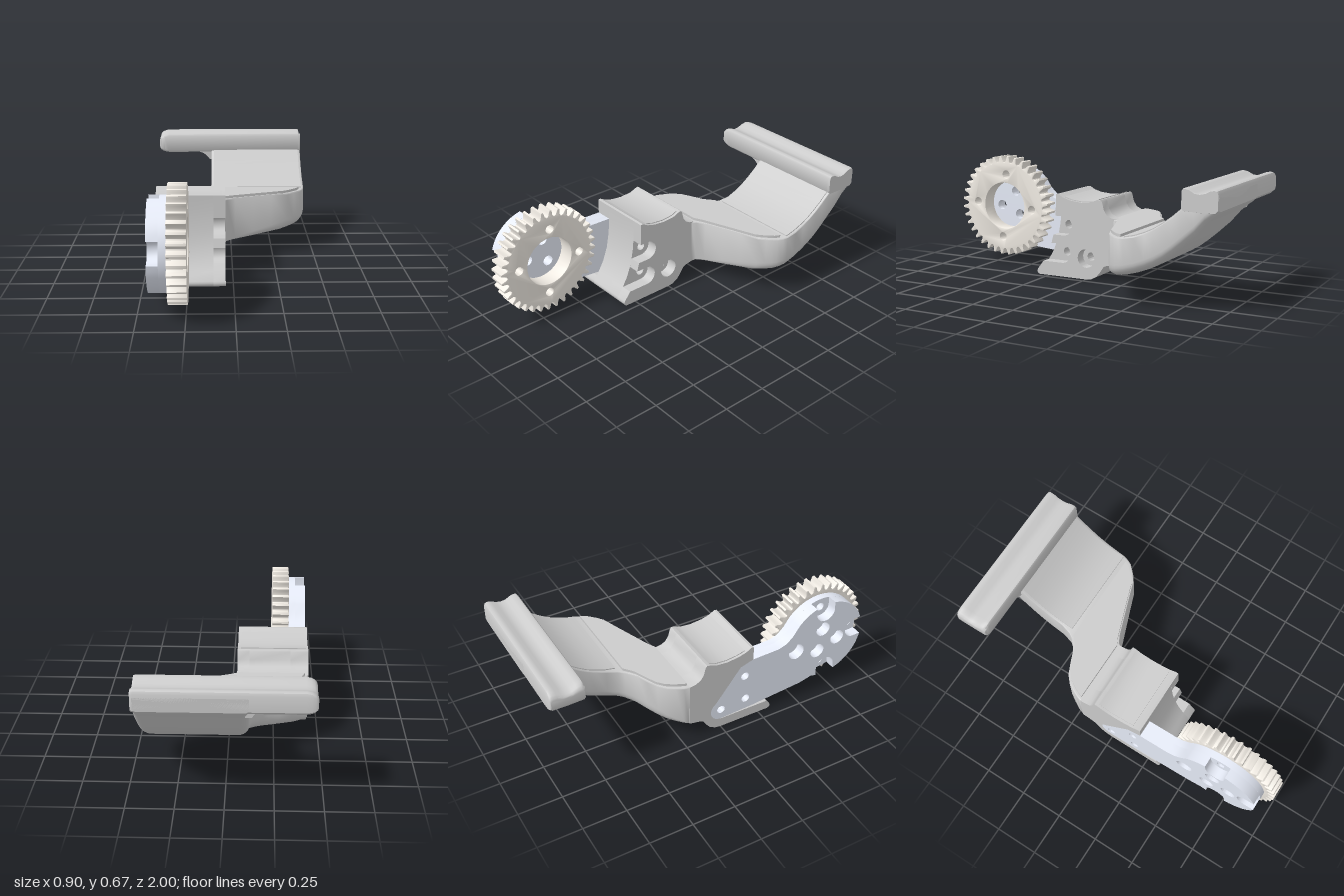
import * as THREE from 'three';
import { toCreasedNormals } from 'three/addons/utils/BufferGeometryUtils.js';

const grey = new THREE.MeshStandardMaterial({ color: 0xcccccc });
const ivory = new THREE.MeshStandardMaterial({ color: 0xf0ebe3 });
const paleBlue = new THREE.MeshStandardMaterial({ color: 0xe6ebf7 });
const rad = THREE.MathUtils.degToRad;

// Points on an arc in the (z, y) plane, angles in degrees.
function arc(cz, cy, r, a0, a1, n = 16) {
  return Array.from({ length: n + 1 }, (_, i) => {
    const a = rad(a0 + (a1 - a0) * i / n);
    return [cz + r * Math.cos(a), cy + r * Math.sin(a)];
  });
}

// Side profile of [z, y] points extruded from x0 to x1; holes are [z, y, r].
function slab(profile, x0, x1, holes = [], bevel = 0) {
  const outline = profile.map(([z, y]) => new THREE.Vector2(-z, y));
  if (THREE.ShapeUtils.isClockWise(outline)) outline.reverse();
  const shape = new THREE.Shape(outline);
  for (const [z, y, r] of holes) shape.holes.push(new THREE.Path().absarc(-z, y, r, 0, Math.PI * 2, true));
  const g = new THREE.ExtrudeGeometry(shape, {
    depth: x1 - x0 - 2 * bevel, curveSegments: 20, bevelEnabled: bevel > 0,
    bevelThickness: bevel, bevelSize: bevel, bevelOffset: -bevel, bevelSegments: 2,
  });
  g.rotateY(Math.PI / 2).translate(x0 + bevel, 0, 0);
  return toCreasedNormals(g, 0.6);
}

// Skin over equal-length loops, closed by fans at both ends.
function loft(loops) {
  const n = loops[0].length, pos = [], idx = [];
  loops.forEach(l => l.forEach(p => pos.push(...p)));
  for (let i = 0; i < loops.length - 1; i++) for (let j = 0; j < n; j++) {
    const a = i * n + j, b = i * n + (j + 1) % n;
    idx.push(a, b, b + n, a, b + n, a + n);
  }
  [0, loops.length - 1].forEach((row, end) => {
    const c = [0, 1, 2].map(k => loops[row].reduce((s, p) => s + p[k], 0) / n);
    const ci = pos.length / 3;
    pos.push(...c);
    for (let j = 0; j < n; j++) {
      const a = row * n + j, b = row * n + (j + 1) % n;
      if (end) idx.push(ci, a, b); else idx.push(ci, b, a);
    }
  });
  const g = new THREE.BufferGeometry();
  g.setAttribute('position', new THREE.Float32BufferAttribute(pos, 3));
  g.setIndex(idx);
  return toCreasedNormals(g, 0.7);
}

export function createModel() {
  const model = new THREE.Group();
  const add = (name, geo, mat = grey) => {
    const m = new THREE.Mesh(geo, mat);
    m.name = name;
    model.add(m);
  };

  // Gear wheel
  const gz = 0.688, gy = 0.358, teeth = 36;
  const mounts = [4, 94, 184, 274].map(a => [gz + 0.198 * Math.cos(rad(a)), gy + 0.198 * Math.sin(rad(a))]);
  const rim = [];
  for (let i = 0; i < teeth; i++) {
    for (const [f, r] of [[-0.42, 0.273], [-0.28, 0.281], [-0.19, 0.3], [-0.11, 0.312], [0.11, 0.312], [0.19, 0.3], [0.28, 0.281], [0.42, 0.273]]) {
      const a = (i + 0.5 + f) / teeth * Math.PI * 2;
      rim.push([gz + r * Math.cos(a), gy + r * Math.sin(a)]);
    }
  }
  add('gear', slab(rim, -0.34, -0.24, [[gz, gy, 0.145], ...mounts.map(([z, y]) => [z, y, 0.025])], 0.003), ivory);

  // Carrier plate: a disc with an arm, in a slotted outer and a plain inner layer
  const bolts = [[0.15, 0.305], [0.16, 0.14], [0, 0.125]];
  const pins = [[0.665, 0.44], [0.77, 0.345], [0.637, 0.295]];
  const seat = [[0.2, 0.405], [0.12, 0.38], [-0.03, 0.185], ...arc(0, 0.125, 0.065, 145, 270, 8)];
  const neck = [[0.46, 0.465], [0.42, 0.427], [0.37, 0.41]];
  const tail = [...neck, ...seat, [0.2, 0.07], [0.53, 0.1]];
  const slotted = [];
  let from = -108;
  for (const i of [3, 0, 1]) {
    const a = [4, 94, 184, -86][i];
    slotted.push(...arc(gz, gy, 0.25, from, a - 14, 8), ...arc(...mounts[i], 0.06, a - 90, a - 270, 12));
    from = a + 14;
  }
  slotted.push(...arc(gz, gy, 0.25, from, 140, 8));
  const small = bolts.map(([z, y]) => [z, y, 0.025]);
  const pinHoles = pins.map(([z, y]) => [z, y, 0.03]);
  add('plateOuterLayer', slab([...slotted, ...tail], -0.44, -0.38,
    [...small, ...pins.map(([z, y]) => [z, y, 0.045]), [...mounts[2], 0.05]]), paleBlue);
  add('plateInnerLayer', slab([...arc(gz, gy, 0.25, -108, 140, 40), ...tail], -0.38, -0.34,
    [...small, ...pinHoles, ...mounts.map(([z, y]) => [z, y, 0.025])]), paleBlue);

  // Hinge block: pocketed, solid and counterbored layers
  const saddle = [[0.2, 0.49], [0.185, 0.492], [0.15, 0.472], [0.1, 0.458], [0.03, 0.451],
    [-0.04, 0.457], [-0.075, 0.472], [-0.095, 0.476]];
  const blockBack = [...saddle, [-0.104, 0.465], [-0.115, 0.42], [-0.135, 0.39], [-0.165, 0.375], [-0.2, 0.37],
    [-0.2, 0.108], [-0.14, 0.096], [-0.115, 0.086], [-0.095, 0.055], [-0.07, 0.025], [-0.035, 0.005], [0, 0]];
  const toe = [[0.312, 0], [0.323, 0.004], [0.329, 0.012], [0.33, 0.022], [0.326, 0.032]];
  add('blockPocketLayer', slab([...toe, [0.305, 0.058], [0, 0.058], ...[...seat].reverse(), ...blockBack], -0.44, -0.34));
  add('blockCore', slab([...toe, [0.29, 0.08], [0.255, 0.14], [0.225, 0.22], [0.208, 0.31], [0.2, 0.4], ...blockBack],
    -0.34, -0.11, small));
  add('blockBoltLayer', slab([...toe, [0.288, 0.083], ...arc(0.16, 0.14, 0.057, 270, 90), [0.232, 0.197],
    [0.218, 0.248], ...arc(0.15, 0.305, 0.057, 270, 90), [0.203, 0.362], ...blockBack],
    -0.11, -0.043, [[0, 0.125, 0.055]]));

  // Bent arm: rows of z, left x, right x, bottom y, top y, bottom corner radius
  const rows = [
    [-1, -0.12, 0.44, 0.545, 0.62, 0.02], [-0.985, -0.12, 0.447, 0.528, 0.63, 0.03],
    [-0.96, -0.12, 0.45, 0.508, 0.63, 0.04], [-0.925, -0.12, 0.45, 0.475, 0.62, 0.05],
    [-0.87, -0.12, 0.45, 0.41, 0.61, 0.055], [-0.8, -0.12, 0.45, 0.345, 0.545, 0.06],
    [-0.75, -0.12, 0.45, 0.302, 0.502, 0.06], [-0.7, -0.12, 0.45, 0.264, 0.465, 0.06],
    [-0.65, -0.12, 0.45, 0.234, 0.433, 0.06], [-0.6, -0.12, 0.45, 0.21, 0.409, 0.06],
    [-0.54, -0.12, 0.45, 0.187, 0.387, 0.06], [-0.48, -0.135, 0.448, 0.17, 0.374, 0.06],
    [-0.45, -0.155, 0.44, 0.164, 0.37, 0.06], [-0.42, -0.19, 0.425, 0.158, 0.37, 0.06],
    [-0.4, -0.22, 0.405, 0.154, 0.37, 0.06], [-0.375, -0.28, 0.38, 0.15, 0.37, 0.06],
    [-0.345, -0.345, 0.34, 0.144, 0.37, 0.06], [-0.31, -0.385, 0.24, 0.134, 0.37, 0.045],
    [-0.27, -0.41, 0.13, 0.123, 0.37, 0.03], [-0.23, -0.43, 0.02, 0.114, 0.37, 0.015],
    [-0.205, -0.438, -0.03, 0.109, 0.37, 0.006], [-0.18, -0.44, -0.043, 0.104, 0.37, 0.003],
  ];
  add('arm', loft(rows.map(([z, l, r, b, t, k]) => {
    const c = (x, y, rr, a) => arc(x, y, rr, a, a + 90, 6).map(([px, py]) => [px, py, z]);
    const e = 0.008;
    return [...c(r - e, t - e, e, 0), ...c(l + e, t - e, e, 90), ...c(l + k, b + k, k, 180), ...c(r - k, b + k, k, 270)];
  })));

  // Head bar with a grooved top and rounded ends: stations of x, height scale, depth scale
  const barProfile = [[-1, 0.55], [-1, 0.635], [-0.993, 0.65], [-0.98, 0.655], [-0.955, 0.65], [-0.93, 0.636],
    [-0.9, 0.629], [-0.87, 0.633], [-0.845, 0.648], [-0.82, 0.655], [-0.808, 0.652], [-0.8, 0.64],
    [-0.8, 0.55], [-0.81, 0.537], [-0.9, 0.533], [-0.985, 0.535]];
  const ends = [[-0.452, 0.42, 0.92], [-0.449, 0.6, 0.95], [-0.437, 0.8, 0.98], [-0.42, 0.92, 1], [-0.395, 1, 1],
    [0.435, 1, 1], [0.445, 0.98, 0.99], [0.451, 0.94, 0.97]];
  add('headBar', loft(ends.map(([x, h, d]) => barProfile.map(([z, y]) => [x, 0.592 + (y - 0.592) * h, -0.9 + (z + 0.9) * d]))));

  // Fillet between the bar's underside and the arm
  const web = new THREE.Shape([...arc(-0.22, 0.44, 0.1, 90, 30, 10), [-0.1, 0.49], [-0.1, 0.56], [-0.22, 0.56]]
    .map(([x, y]) => new THREE.Vector2(x, y)));
  add('barFillet', toCreasedNormals(new THREE.ExtrudeGeometry(web, { depth: 0.13, bevelEnabled: false }).translate(0, 0, -0.94), 0.6));

  // Thin cushion pads on the saddle, the flat and the curved arm
  const strip = (line, h) => [...line.map(([z, y]) => [z, y + h]), ...[...line].reverse().map(([z, y]) => [z, y - 0.01])];
  add('saddlePad', slab(strip(saddle.slice(2, 7), 0.005), -0.425, -0.06));
  const curved = rows.slice(5, 12).map(r => [r[0], r[4]]);
  add('curvedPad', slab(strip(curved, 0.006), -0.105, 0.435));
  const flat = rows.slice(12, 21);
  const outline = [...flat.map(r => [r[1] + 0.02, r[0]]), ...[...flat].reverse().map(r => [r[2] - 0.025, r[0]])];
  const flatGeo = new THREE.ExtrudeGeometry(new THREE.Shape(outline.map(([x, z]) => new THREE.Vector2(x, -z))),
    { depth: 0.023, bevelEnabled: false });
  add('flatPad', toCreasedNormals(flatGeo.rotateX(-Math.PI / 2).translate(0, 0.362, 0), 0.6));

  return model;
}
